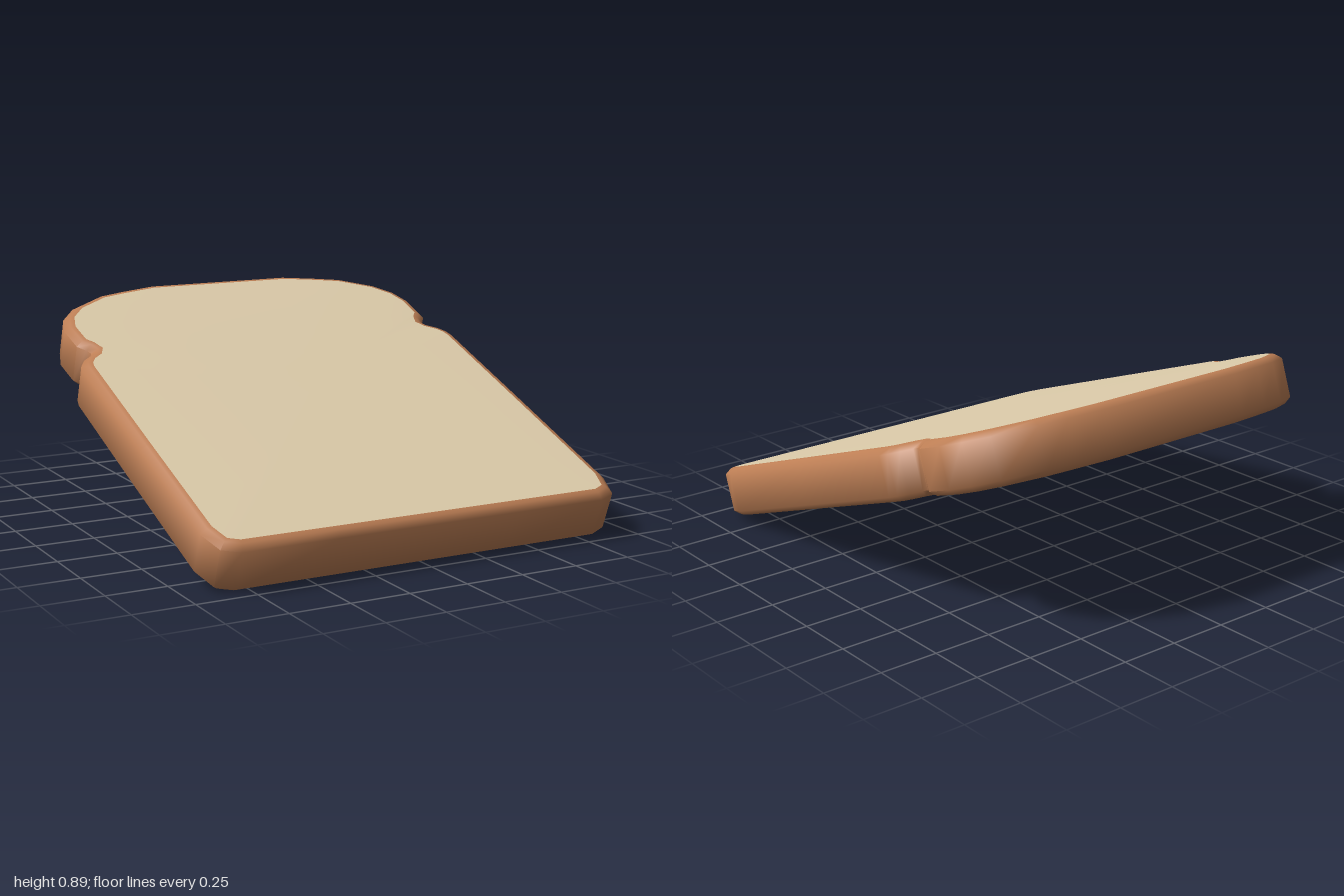
import * as THREE from 'three';
import { toCreasedNormals } from 'three/addons/utils/BufferGeometryUtils.js';

// Right half of the slice outline (x, z), from the bottom edge round to the top
const half = [
  [0.4, 1.033], [0.81, 1.033], [0.885, 1.0], [0.918, 0.89], [0.92, 0.3], [0.92, -0.34],
  [0.91, -0.385], [0.88, -0.43], [0.84, -0.462], [0.83, -0.482], [0.84, -0.51], [0.87, -0.55],
  [0.876, -0.69], [0.845, -0.79], [0.77, -0.88], [0.62, -0.97], [0.5, -1.0], [0.34, -1.033],
];
const outline = [...half, ...half.map(([x, z]) => [-x, z]).reverse()];
const count = outline.length;

// Outline moved inwards by a distance, then scaled towards the middle
function ring(inset, scale = 1) {
  return outline.map(([x, z], i) => {
    const p = outline[(i + count - 1) % count], q = outline[(i + 1) % count];
    const a = new THREE.Vector2(p[1] - z, x - p[0]).normalize();
    const b = new THREE.Vector2(z - q[1], q[0] - x).normalize();
    const n = a.clone().add(b).normalize();
    const d = inset / Math.max(0.6, n.dot(a));
    return [(x - n.x * d) * scale, (z - n.y * d) * scale];
  });
}

// Skin over a profile of rings: [inset, height, scale]
function loft(profile) {
  const pos = [], index = [];
  profile.forEach(([inset, y, scale]) => ring(inset, scale).forEach(([x, z]) => pos.push(x, y, z)));
  for (let r = 0; r < profile.length - 1; r++) {
    for (let i = 0; i < count; i++) {
      const a = r * count + i, c = r * count + (i + 1) % count;
      const b = a + count, d = c + count;
      index.push(a, b, c, b, d, c);
    }
  }
  const g = new THREE.BufferGeometry();
  g.setAttribute('position', new THREE.Float32BufferAttribute(pos, 3));
  g.setIndex(index);
  g.computeVertexNormals();
  return g;
}

export function createModel() {
  const crustMat = new THREE.MeshStandardMaterial({ color: 0xbe7f55 });
  crustMat.name = 'crust brown';
  const crumbMat = new THREE.MeshStandardMaterial({ color: 0xdfceac });
  crumbMat.name = 'crumb cream';

  const slice = new THREE.Group();
  slice.name = 'breadSlice';
  const add = (name, geometry, material) => {
    const mesh = new THREE.Mesh(geometry, material);
    mesh.name = name;
    slice.add(mesh);
  };

  // Crust band with softened edges
  const edge = [[0.046, 0.109], [0.026, 0.105], [0, 0.083]];
  const crust = [...edge, ...edge.map(([i, y]) => [i, -y]).reverse()];
  add('crust', toCreasedNormals(loft(crust), 1.0), crustMat);

  // Slightly domed crumb faces
  const dome = [[0.046, 0.113, 0], [0.046, 0.113, 0.5], [0.046, 0.112, 0.8], [0.046, 0.109, 1]];
  add('topCrumb', loft(dome), crumbMat);
  add('bottomCrumb', loft(dome.map(([i, y, s]) => [i, -y, s]).reverse()), crumbMat);

  // The slice leans back, resting on its bottom edge
  slice.rotation.x = THREE.MathUtils.degToRad(20);
  slice.position.y = 0.445;

  const model = new THREE.Group();
  model.name = 'bread';
  model.add(slice);
  return model;
}
